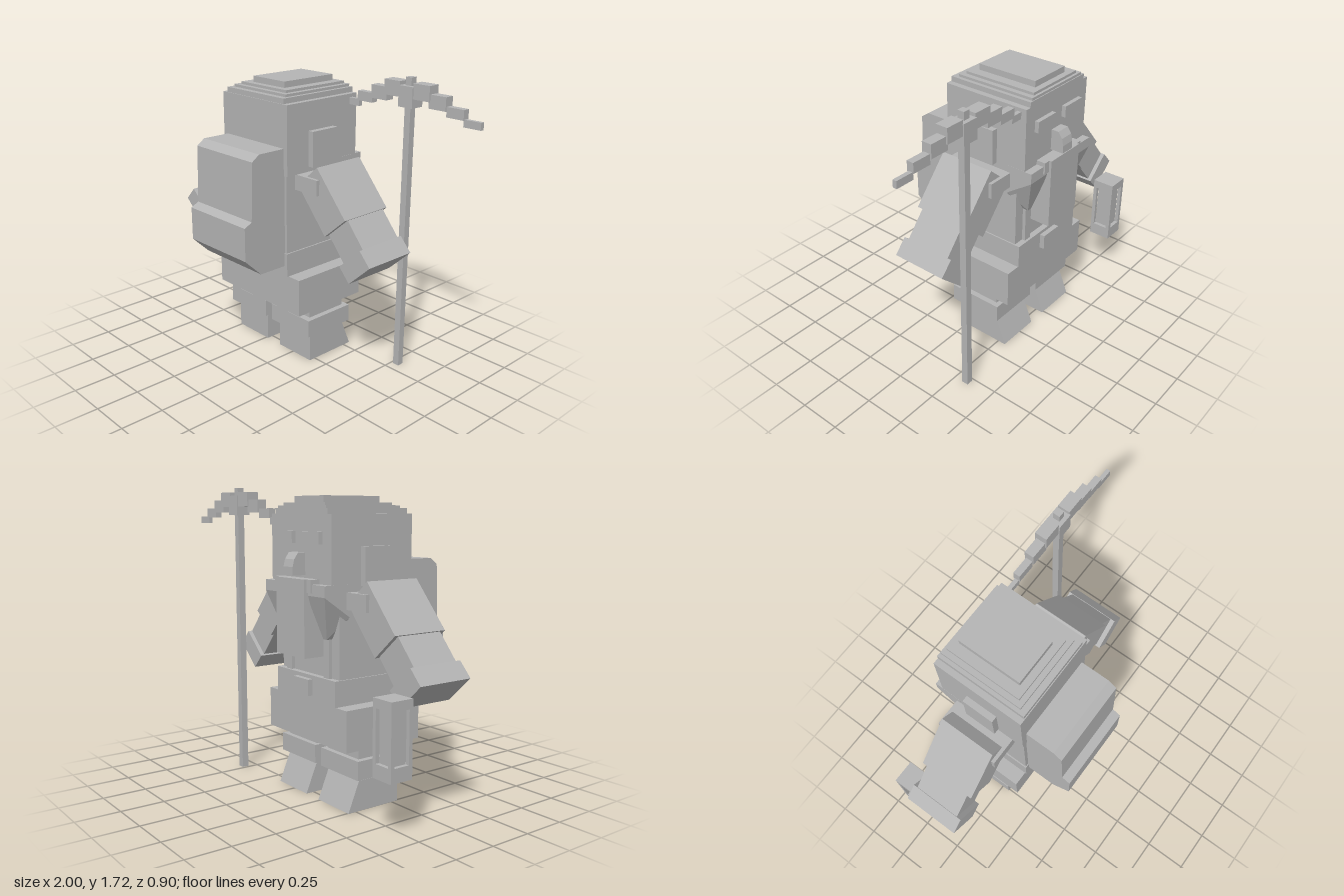
import * as THREE from 'three';
import { ConvexGeometry } from 'three/addons/geometries/ConvexGeometry.js';

const CX = -0.178; // the figure's own centre line; the pickaxe shifts it off x = 0

export function createModel() {
  const model = new THREE.Group();
  model.name = 'miner';
  const stone = new THREE.MeshStandardMaterial({ color: 0xb4b4b4 });
  stone.name = 'plain grey';

  const add = (name, geometry, parent = model) => {
    const mesh = new THREE.Mesh(geometry, stone);
    mesh.name = name;
    parent.add(mesh);
    return mesh;
  };
  // Box between two corners
  const box = (name, x0, x1, y0, y1, z0, z1, parent) => {
    const mesh = add(name, new THREE.BoxGeometry(x1 - x0, y1 - y0, z1 - z0), parent);
    mesh.position.set((x0 + x1) / 2, (y0 + y1) / 2, (z0 + z1) / 2);
    return mesh;
  };
  // Box symmetric about the figure's centre line
  const mid = (name, half, y0, y1, z0, z1) => box(name, CX - half, CX + half, y0, y1, z0, z1);
  // Side outline given as [z, y] points, extruded along x
  const prism = (name, x0, x1, points) => {
    const shape = new THREE.Shape(points.map(([z, y]) => new THREE.Vector2(-z, y)));
    const geometry = new THREE.ExtrudeGeometry(shape, { depth: x1 - x0, bevelEnabled: false });
    geometry.rotateY(Math.PI / 2).translate(x0, 0, 0);
    return add(name, geometry);
  };
  // Box whose long axis runs between two points in the xy plane
  const limb = (name, from, to, width, z0, z1) => {
    const a = new THREE.Vector2(...from), b = new THREE.Vector2(...to);
    const mesh = add(name, new THREE.BoxGeometry(width, a.distanceTo(b), z1 - z0));
    mesh.position.set((a.x + b.x) / 2, (a.y + b.y) / 2, (z0 + z1) / 2);
    mesh.rotation.z = Math.atan2(a.x - b.x, b.y - a.y);
  };

  // Trunk
  mid('skirt', 0.362, 0.345, 0.57, -0.34, 0.16);
  mid('belt', 0.273, 0.57, 0.71, -0.345, 0.17);
  mid('buckle', 0.07, 0.6, 0.69, -0.375, -0.345);
  mid('torso', 0.265, 0.71, 1.17, -0.31, 0.165);
  mid('head', 0.277, 1.17, 1.57, -0.37, 0.17);

  // Stepped cap
  mid('capBrim', 0.243, 1.57, 1.6, -0.37, 0.165);
  mid('capLower', 0.222, 1.6, 1.615, -0.365, 0.13);
  mid('capUpper', 0.192, 1.615, 1.63, -0.35, 0.1);
  mid('capTop', 0.133, 1.63, 1.665, -0.315, 0.06);

  // Face and beard
  prism('nose', CX - 0.043, CX + 0.043, [
    [-0.36, 1.37], [-0.415, 1.37], [-0.44, 1.335], [-0.45, 1.295], [-0.45, 1.25], [-0.36, 1.25]]);
  mid('moustache', 0.17, 1.165, 1.235, -0.425, -0.33);
  mid('beard', 0.132, 0.82, 1.235, -0.44, -0.3);

  for (const s of [-1, 1]) {
    const X = (d) => CX + s * d;
    const pair = (name, d0, d1, ...rest) =>
      box(name, Math.min(X(d0), X(d1)), Math.max(X(d0), X(d1)), ...rest);

    pair('eye', 0.045, 0.2, 1.415, 1.48, -0.395, -0.37);
    pair('ear', 0.277, 0.313, 1.2, 1.405, -0.18, 0.01);
    pair('strap', 0.15, 0.2, 0.71, 1.1, -0.33, -0.31);

    // Side whiskers tapering to a point
    const whisker = [
      [0.12, 1.21, -0.25], [0.278, 1.21, -0.25], [0.278, 1.21, -0.415], [0.12, 1.21, -0.415],
      [0.278, 1.04, -0.255], [0.278, 1.15, -0.415], [0.12, 1.15, -0.415],
      [0.2, 0.92, -0.345], [0.17, 0.92, -0.345], [0.17, 0.92, -0.3], [0.2, 0.92, -0.3],
    ].map(([d, y, z]) => new THREE.Vector3(X(d), y, z));
    add('sideWhisker', new ConvexGeometry(whisker));

    // Arm
    pair('shoulder', 0.255, 0.437, 1.08, 1.17, -0.275, 0.1);
    limb('upperArm', [X(0.342), 1.17], [X(0.56), 0.92], 0.2, -0.255, 0.08);
    limb('forearm', [X(0.54), 0.943], [X(0.685), 0.773], 0.185, -0.23, 0.052);
    limb('hand', [X(0.674), 0.779], [X(0.748), 0.699], 0.2, -0.255, 0.08);

    // Leg
    pair('leg', 0.053, 0.325, 0.16, 0.35, -0.23, 0.04);
    pair('bootCuff', 0.028, 0.358, 0.18, 0.285, -0.26, 0.08);
    prism('boot', Math.min(X(0.058), X(0.33)), Math.max(X(0.058), X(0.33)),
      [[0.04, 0], [0.04, 0.167], [-0.23, 0.167], [-0.3, 0]]);
  }

  // Backpack
  prism('backpack', -0.42, 0.07, [
    [0.155, 1.325], [0.345, 1.325], [0.395, 1.29], [0.405, 0.955],
    [0.455, 0.93], [0.455, 0.735], [0.345, 0.63], [0.155, 0.63]]);

  // Pickaxe with stepped blades
  const pick = new THREE.Group();
  pick.name = 'pickaxe';
  model.add(pick);
  const px = 0.534, pz = -0.325;
  box('handle', px - 0.02, px + 0.02, 0, 1.72, pz - 0.02, pz + 0.02, pick);
  box('pickHead', px - 0.048, px + 0.048, 1.56, 1.675, pz - 0.043, pz + 0.043, pick);
  const steps = [ // inner, outer, bottom, top, half depth
    [0.045, 0.155, 1.61, 1.695, 0.036], [0.145, 0.256, 1.575, 1.65, 0.028],
    [0.256, 0.365, 1.545, 1.6, 0.02], [0.36, 0.466, 1.51, 1.55, 0.012]];
  for (const s of [-1, 1]) {
    for (const [a, b, y0, y1, h] of steps) {
      const xs = [px + s * a, px + s * b].sort((m, n) => m - n);
      box('blade', ...xs, y0, y1, pz - h, pz + h, pick);
    }
  }

  // Lantern: caps, corner posts and a recessed core
  const lantern = new THREE.Group();
  lantern.name = 'lantern';
  model.add(lantern);
  const lx = -0.888, lz = -0.328, r = 0.068, post = 0.022;
  box('lanternBase', lx - r, lx + r, 0.305, 0.38, lz - r, lz + r, lantern);
  box('lanternCap', lx - r, lx + r, 0.655, 0.705, lz - r, lz + r, lantern);
  box('lanternCore', lx - 0.045, lx + 0.045, 0.38, 0.655, lz - 0.045, lz + 0.045, lantern);
  for (const s of [-1, 1]) for (const t of [-1, 1]) {
    const x = lx + s * (r - post / 2), z = lz + t * (r - post / 2);
    box('lanternPost', x - post / 2, x + post / 2, 0.38, 0.655, z - post / 2, z + post / 2, lantern);
  }
  return model;
}
